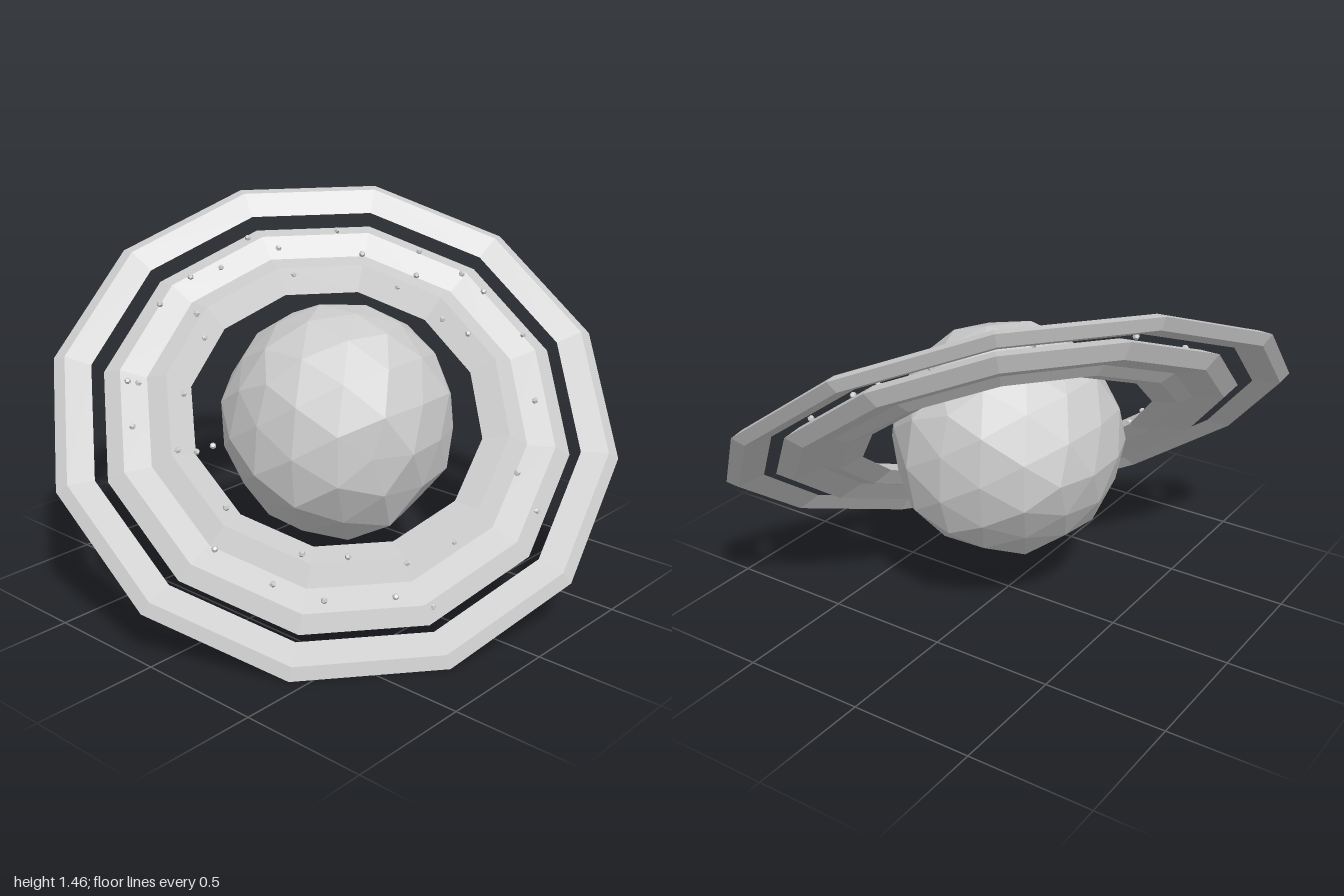
import * as THREE from 'three';

const SIDES = 12;
const grey = new THREE.MeshStandardMaterial({ color: 0xcccccc, flatShading: true });

// Ridged bands: inner radius, ridge radius, outer radius, height above and below, shift in the ring plane
const BANDS = [
  { name: 'outerRing', inner: 0.98, ridge: 1.085, outer: 1.13, top: 0.03, bottom: 0.03, shift: 0 },
  { name: 'middleRing', inner: 0.69, ridge: 0.865, outer: 0.93, top: 0.04, bottom: 0.04, shift: 0.016 },
  { name: 'innerRing', inner: 0.582, ridge: 0.68, outer: 0.785, top: 0.06, bottom: 0.03, shift: 0.013 },
];

// Diamond profile swept around the ring axis
function makeBand({ name, inner, ridge, outer, top, bottom, shift }) {
  const profile = [[outer, 0], [ridge, top], [inner, 0], [ridge, -bottom], [outer, 0]]
    .map(([r, y]) => new THREE.Vector2(r, y));
  const mesh = new THREE.Mesh(new THREE.LatheGeometry(profile, SIDES), grey);
  mesh.name = name;
  mesh.position.set(-shift, 0, shift);
  return mesh;
}

// Faceted planet with uneven rock, rougher on the underside
function makePlanet() {
  const geo = new THREE.IcosahedronGeometry(1, 2);
  const pos = geo.attributes.position;
  const v = new THREE.Vector3();
  for (let i = 0; i < pos.count; i++) {
    v.fromBufferAttribute(pos, i).normalize();
    const n = Math.sin(v.x * 7.1 + v.y * 3.3 + 1) * Math.sin(v.z * 6.3 - v.y * 5.2) + 0.5 * Math.sin(v.x * 13 - v.z * 11);
    const amount = v.y > 0.2 ? 0.009 : 0.02;
    v.multiplyScalar(0.463 + amount * n);
    pos.setXYZ(i, v.x, v.y, v.z);
  }
  geo.computeVertexNormals();
  const mesh = new THREE.Mesh(geo, grey);
  mesh.name = 'planet';
  mesh.position.set(0.008, 0.695, 0);
  return mesh;
}

// Pebble places across the ring face, in hundredths (across, up)
const PEBBLES = [
  -3, 80, 8, 70, 32, 73, 59, 56, 50, 64, 75, 37, 79, 8, 78, -38, 38, -78, 24, -76, -2, -79, -21, -74,
  -60, -25, -78, -16, -78, 3, -82, 3, -73, 38, -62, 52, -50, 58, -40, 73, -27, 70, -20, 57, 23, 55,
  31, 62, 42, 42, 52, 35, 71, -23, 46, -53, 28, -63, 6, -63, -11, -63, -43, -62, -40, -46, -53, -23,
  -60, 0, -54, 25, -58, 34, -47, -20,
];

// Height of the ring face at a point in the ring plane
function surfaceHeight(x, z) {
  const step = (Math.PI * 2) / SIDES;
  const angle = Math.atan2(z, x) + Math.PI * 2;
  const r = Math.hypot(x, z) * Math.cos((angle % step) - step / 2) / Math.cos(step / 2);
  const heights = BANDS.map(({ inner, ridge, outer, top }) =>
    top * Math.min((r - inner) / (ridge - inner), (outer - r) / (outer - ridge)));
  return Math.max(0, ...heights);
}

function makePebbles() {
  const group = new THREE.Group();
  group.name = 'pebbles';
  const geo = new THREE.DodecahedronGeometry(0.013, 0);
  const turn = 0.64;
  for (let i = 0; i < PEBBLES.length; i += 2) {
    const across = PEBBLES[i] / 100, up = PEBBLES[i + 1] / 96;
    const x = up * Math.cos(turn) + across * Math.sin(turn);
    const z = across * Math.cos(turn) - up * Math.sin(turn);
    const pebble = new THREE.Mesh(geo, grey);
    pebble.name = 'pebble';
    pebble.position.set(x, surfaceHeight(x, z) + 0.007, z);
    pebble.rotation.set(i, i * 2, 0);
    group.add(pebble);
  }
  return group;
}

export function createModel() {
  const model = new THREE.Group();
  model.name = 'ringedPlanet';
  model.add(makePlanet());

  // Tilted ring system: local y is the ring axis, local x points to a corner
  const rings = new THREE.Group();
  rings.name = 'rings';
  const axis = new THREE.Vector3(0.509, 0.746, 0.428).normalize();
  const corner = new THREE.Vector3(0.05, 0.54, -1).projectOnPlane(axis).normalize();
  const side = new THREE.Vector3().crossVectors(corner, axis);
  rings.quaternion.setFromRotationMatrix(new THREE.Matrix4().makeBasis(corner, axis, side));
  rings.position.y = 0.74;
  rings.add(...BANDS.map(makeBand), makePebbles());
  model.add(rings);
  return model;
}
